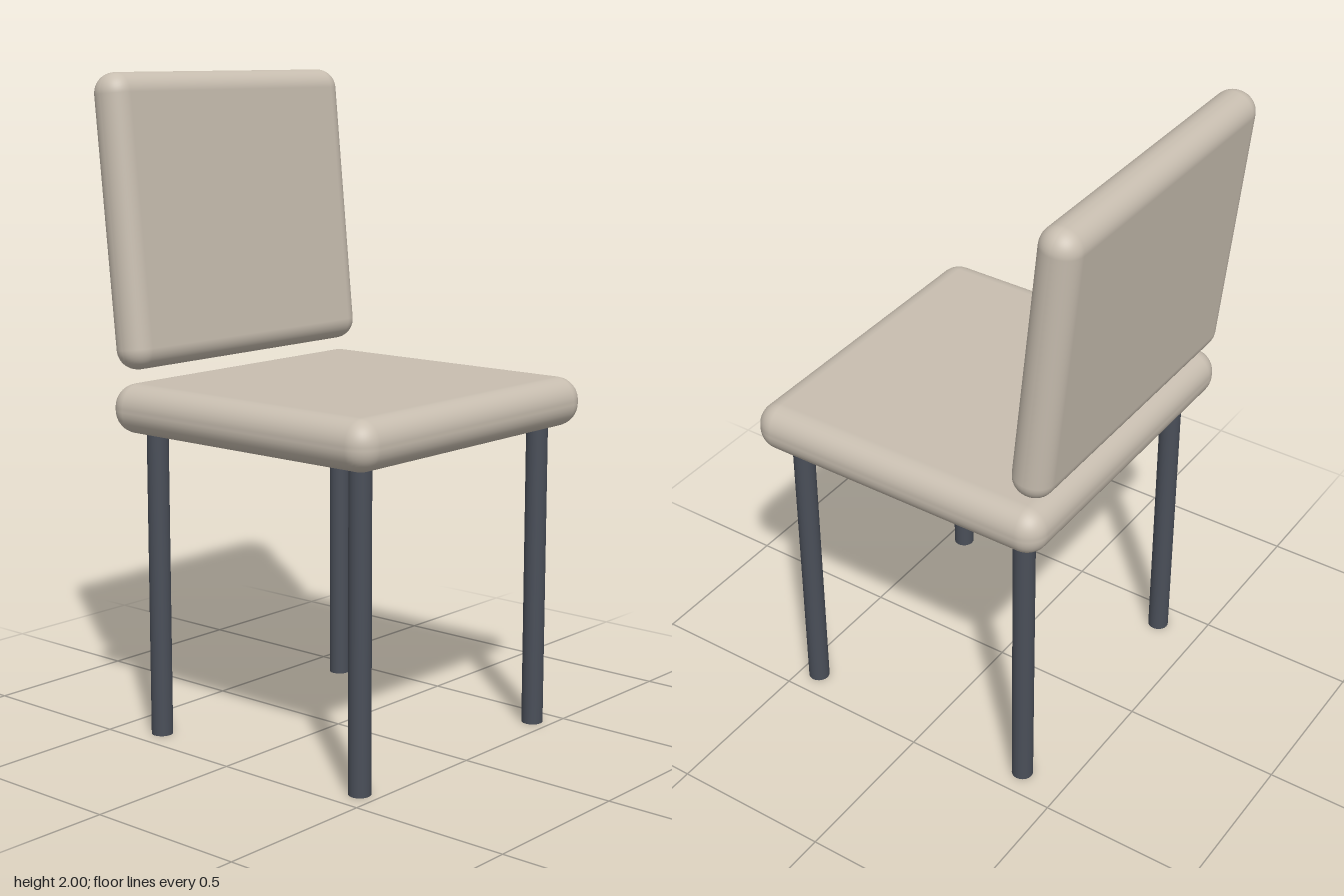
import * as THREE from 'three';
import { RoundedBoxGeometry } from 'three/addons/geometries/RoundedBoxGeometry.js';

export function createModel() {
  const chair = new THREE.Group();
  chair.name = 'chair';

  const fabric = new THREE.MeshStandardMaterial({ color: 0xc8beb0 });
  fabric.name = 'beige fabric';
  const metal = new THREE.MeshStandardMaterial({ color: 0x4a4f59 });
  metal.name = 'dark grey metal';

  // Padded cushions with rounded edges
  function cushion(name, width, height, depth, radius, y, z) {
    const mesh = new THREE.Mesh(new RoundedBoxGeometry(width, height, depth, 5, radius), fabric);
    mesh.name = name;
    mesh.position.set(0, y, z);
    chair.add(mesh);
    return mesh;
  }
  cushion('seat', 1.052, 0.15, 1.005, 0.07, 1.014, 0.043);

  // Backrest floats just above the seat, leaning back
  cushion('backrest', 1.01, 0.877, 0.128, 0.062, 1.565, -0.442).rotation.x = -0.1;

  // Four straight round legs
  const legHeight = 0.96;
  const legGeometry = new THREE.CylinderGeometry(0.033, 0.033, legHeight, 20);
  for (const [end, z] of [['front', 0.44], ['back', -0.354]]) {
    for (const [side, x] of [['Left', 0.416], ['Right', -0.416]]) {
      const leg = new THREE.Mesh(legGeometry, metal);
      leg.name = `${end}${side}Leg`;
      leg.position.set(x, legHeight / 2, z);
      chair.add(leg);
    }
  }

  return chair;
}
